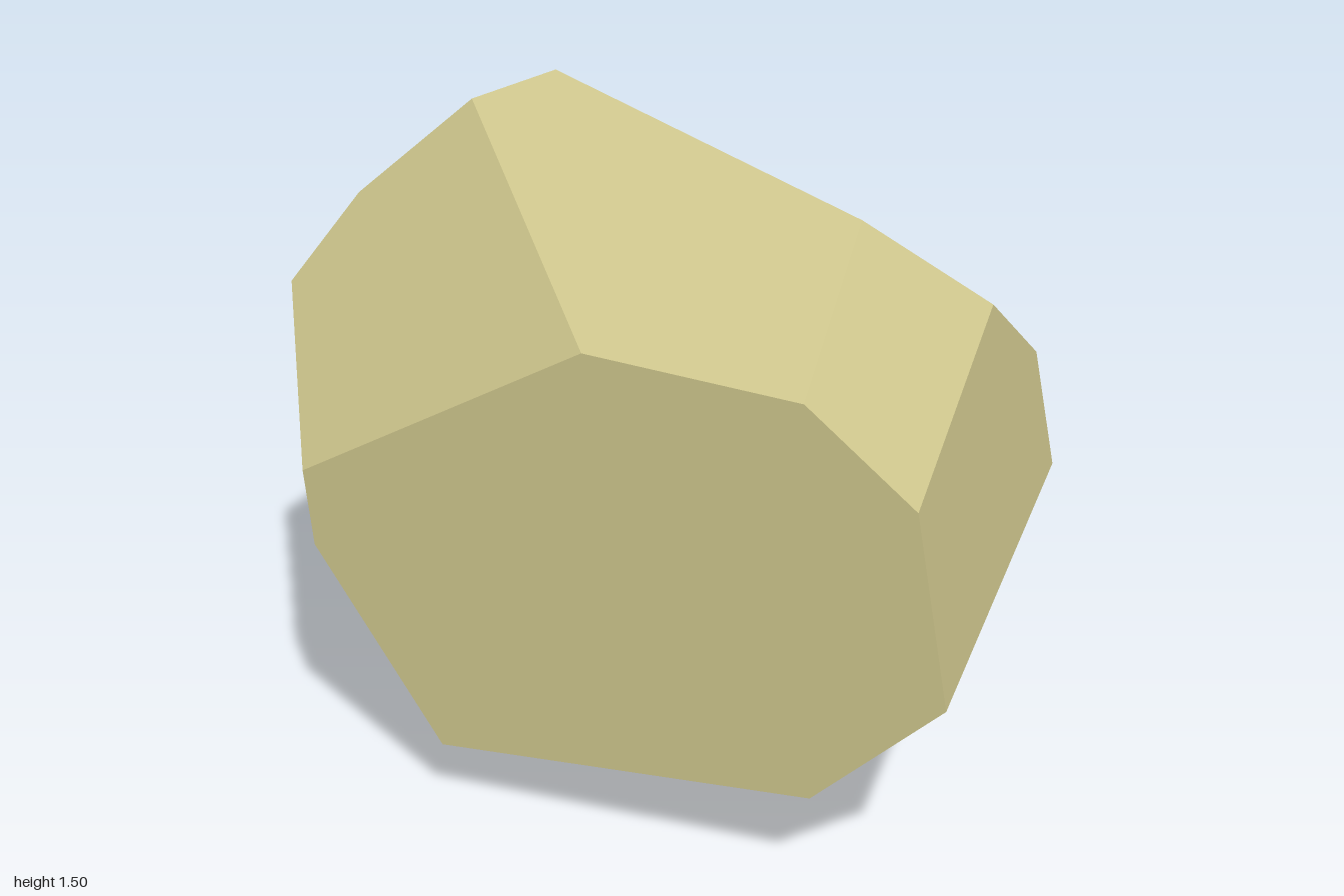
import * as THREE from 'three';

// Corner points of the faceted stone
const corners = {
  // crown
  F: [-0.39, 1.5, -0.06], E: [-0.48, 1.455, 0.12], G: [0.49, 1.35, -0.05],
  D: [-0.71, 1.22, 0.27], V: [-0.53, 1.15, -0.53], S: [0.7, 1.16, -0.24],
  H: [0.71, 1.16, 0.42], O: [0.27, 1.19, 0.57],
  // front
  C: [-0.78, 1.03, 0.43], P: [-0.37, 0.8, 0.77], Q: [-0.36, 0.62, 0.76],
  R: [-0.09, 0.17, 0.66], K: [0.73, 0.255, 0.39],
  // left end (+x)
  I: [0.93, 0.97, 0.34], J: [1, 0.54, 0.31], T: [0.65, 0.95, -0.51], U: [0.69, 0.67, -0.55],
  // right end (-x)
  A: [-1, 0.42, 0.09], B: [-0.96, 0.53, 0.2], a: [-1, 0.42, -0.3], Z: [-0.87, 0.77, -0.36],
  // back
  W: [-0.12, 0.93, -0.72], X: [-0.03, 0.485, -0.77], Y: [0.39, 0.46, -0.67],
  // underside
  M: [-0.31, 0, 0.36], L: [0.44, 0.1, 0.17], N: [-0.55, 0.06, 0.2], b: [-0.85, 0.297, -0.37],
};

// Each facet is a loop of corners
const facets = [
  'FGSTWV', 'EFGHO', 'EOPCD', 'FEDZV',   // crown
  'OHIJKRQP', 'CPQB', 'ABQRMN', 'RKLM',  // front
  'GHIS', 'SIJUT', 'JKLYU',              // left end
  'DCBAaZ',                              // right end
  'TUYXW', 'VWXbaZ',                     // back
  'LMNbXY', 'AabN',                      // underside
];

function facetedGeometry() {
  const centre = new THREE.Vector3(0, 0.75, 0);
  const positions = [], normals = [];
  for (const facet of facets) {
    const loop = [...facet].map((k) => new THREE.Vector3(...corners[k]));
    const middle = new THREE.Vector3();
    loop.forEach((p) => middle.addScaledVector(p, 1 / loop.length));
    // average normal of the whole facet, so that it shades as one plane
    const normal = new THREE.Vector3();
    loop.forEach((p, i) => {
      const q = loop[(i + 1) % loop.length];
      normal.add(p.clone().sub(middle).cross(q.clone().sub(middle)));
    });
    normal.normalize();
    if (normal.dot(middle.clone().sub(centre)) < 0) {
      loop.reverse();
      normal.negate();
    }
    for (let i = 1; i < loop.length - 1; i++) {
      for (const p of [loop[0], loop[i], loop[i + 1]]) {
        positions.push(p.x, p.y, p.z);
        normals.push(normal.x, normal.y, normal.z);
      }
    }
  }
  const geometry = new THREE.BufferGeometry();
  geometry.setAttribute('position', new THREE.Float32BufferAttribute(positions, 3));
  geometry.setAttribute('normal', new THREE.Float32BufferAttribute(normals, 3));
  return geometry;
}

export function createModel() {
  const group = new THREE.Group();
  group.name = 'boulder';
  const stone = new THREE.MeshStandardMaterial({ color: 0xcdc58c });
  stone.name = 'sandstone';
  const rock = new THREE.Mesh(facetedGeometry(), stone);
  rock.name = 'rock';
  group.add(rock);
  return group;
}
